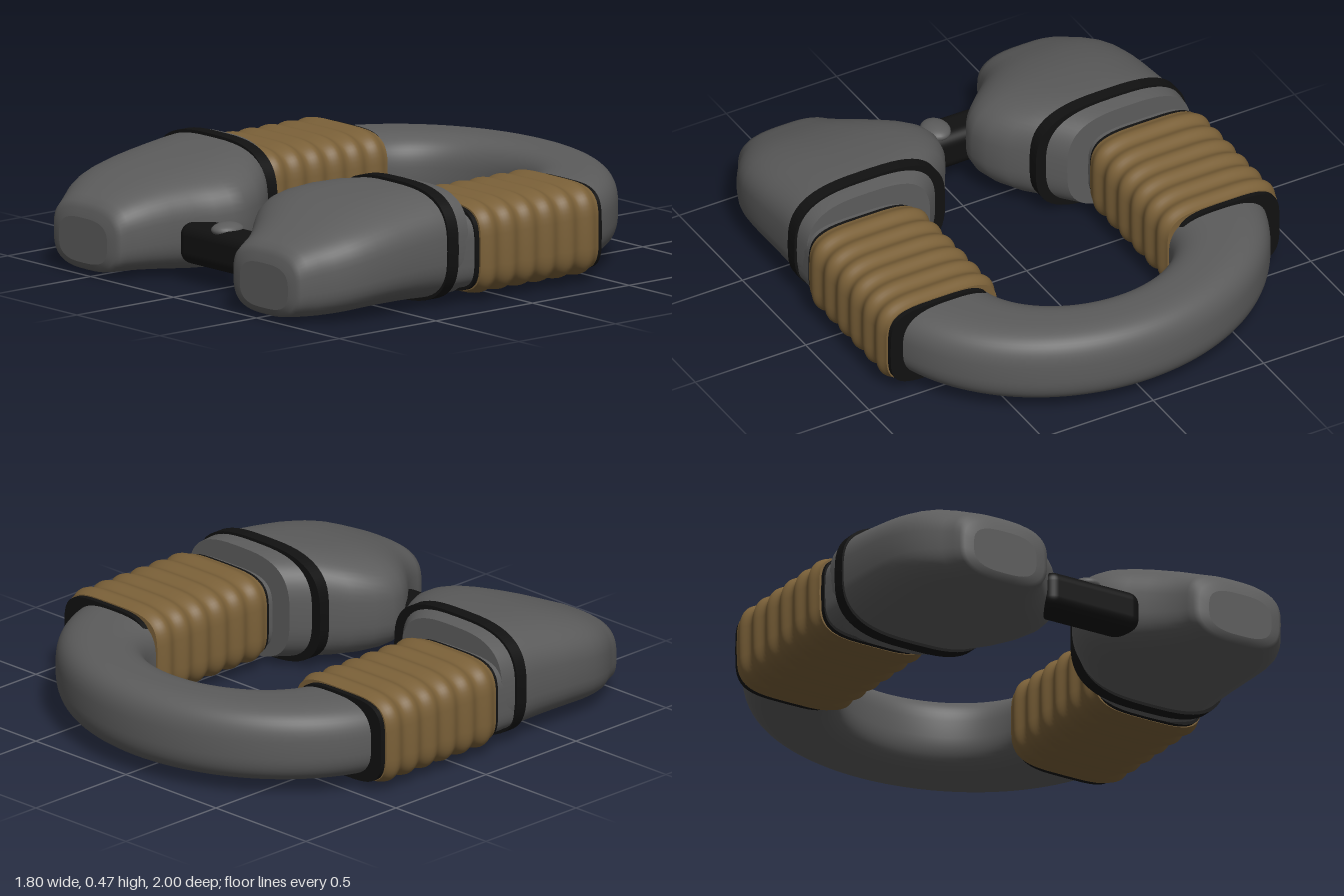
import * as THREE from 'three';
import { RoundedBoxGeometry } from 'three/addons/geometries/RoundedBoxGeometry.js';

const N = 56;

// Rounded-square outline, u and v from -1 to 1
function outline(power) {
  const f = (c) => Math.sign(c) * Math.pow(Math.abs(c), 2 / power);
  return Array.from({ length: N }, (_, j) => {
    const a = (j / N) * Math.PI * 2;
    return [f(Math.cos(a)), f(Math.sin(a))];
  });
}

// Skin over a list of rings, with flat end caps
function loft(rings) {
  const pos = [], index = [];
  rings.forEach((ring) => ring.forEach((p) => pos.push(...p)));
  for (let i = 0; i < rings.length - 1; i++) {
    for (let j = 0; j < N; j++) {
      const k = (j + 1) % N;
      const a = i * N + j, b = i * N + k, c = a + N, d = b + N;
      index.push(a, b, d, a, d, c);
    }
  }
  [rings[0], rings[rings.length - 1]].forEach((ring, end) => {
    const base = pos.length / 3;
    ring.forEach((p) => pos.push(...p));
    pos.push(...[0, 1, 2].map((q) => ring.reduce((s, p) => s + p[q], 0) / N));
    for (let j = 0; j < N; j++) {
      const k = (j + 1) % N;
      if (end) index.push(base + N, base + j, base + k);
      else index.push(base + N, base + k, base + j);
    }
  });
  const g = new THREE.BufferGeometry();
  g.setAttribute('position', new THREE.Float32BufferAttribute(pos, 3));
  g.setIndex(index);
  g.computeVertexNormals();
  return g;
}

// Loft along z on one side; each section is [z, innerX, outerX, bottom, top]
function sideLoft(side, sections, power) {
  const shape = outline(power);
  return loft(sections.map(([z, xi, xo, y0, y1]) => shape.map(([u, v]) => [
    side * (xi + xo) / 2 + u * (xo - xi) / 2,
    (y0 + y1) / 2 + v * (y1 - y0) / 2,
    z,
  ])));
}

export function createModel() {
  const group = new THREE.Group();
  const mat = (name, color) => {
    const m = new THREE.MeshStandardMaterial({ color });
    m.name = name;
    return m;
  };
  const grey = mat('dark grey', 0x5c5c5c);
  const black = mat('black', 0x111111);
  const brown = mat('brown', 0x7a6038);
  const add = (name, geometry, material) => {
    const mesh = new THREE.Mesh(geometry, material);
    mesh.name = name;
    group.add(mesh);
    return mesh;
  };

  // Curved tube around the back, between an inner and an outer ellipse
  const tube = outline(2.9);
  const rings = [];
  for (let i = 0; i <= 64; i++) {
    const t = Math.PI * (1 - i / 64), c = Math.cos(t), s = Math.sin(t);
    rings.push(tube.map(([u, v]) => {
      const w = (u + 1) / 2;
      return [
        c * THREE.MathUtils.lerp(0.4, 0.86, w),
        0.21 + 0.16 * v,
        THREE.MathUtils.lerp(-0.38 - 0.31 * s, -0.25 - 0.75 * s, w),
      ];
    }));
  }
  add('backArch', loft(rings), grey);

  // Head sections from the rear lip to the nose
  const headSections = [
    [0.22, 0.31, 0.87, 0.02, 0.455],
    [0.28, 0.255, 0.877, 0.017, 0.462],
    [0.34, 0.2, 0.88, 0.015, 0.462],
    [0.4, 0.14, 0.88, 0.015, 0.459],
    [0.48, 0.092, 0.88, 0.015, 0.45],
    [0.56, 0.072, 0.88, 0.015, 0.438],
    [0.62, 0.08, 0.878, 0.015, 0.427],
    [0.68, 0.115, 0.873, 0.015, 0.412],
    [0.74, 0.17, 0.865, 0.015, 0.395],
    [0.8, 0.23, 0.848, 0.015, 0.375],
    [0.86, 0.28, 0.82, 0.015, 0.35],
    [0.91, 0.312, 0.785, 0.015, 0.328],
    [0.95, 0.328, 0.758, 0.017, 0.31],
    [0.98, 0.338, 0.745, 0.02, 0.29],
    [0.992, 0.36, 0.728, 0.03, 0.265],
    [1.0, 0.4, 0.69, 0.05, 0.23],
  ];

  // Ribbed sleeve: six rounded ridges
  const sleeveSections = [];
  for (let i = 0; i <= 60; i++) {
    const e = 0.0075 * (1 - Math.cos((i / 60) * 12 * Math.PI));
    sleeveSections.push([
      -0.44 + 0.61 * (i / 60), 0.385 - e, 0.887 + e, 0.035 - e, 0.388 + e,
    ]);
  }

  const band = (z0, z1, ...size) => [[z0, ...size], [z1, ...size]];
  for (const [label, side] of [['left', 1], ['right', -1]]) {
    const part = (name, sections, power, material) =>
      add(label + name, sideLoft(side, sections, power), material);
    part('Head', headSections, 3, grey);
    part('HeadBand', band(0.285, 0.338, 0.205, 0.888, 0.002, 0.474), 3, black);
    part('Neck', band(-0.3, 0.3, 0.405, 0.872, 0.05, 0.37), 4, grey);
    part('Sleeve', sleeveSections, 4, brown);
    part('FrontSleeveBand', band(0.155, 0.19, 0.395, 0.878, 0.037, 0.383), 4, black);
    part('RearSleeveBand', band(-0.462, -0.425, 0.42, 0.88, 0.037, 0.383), 4, black);
  }

  // Crossbar between the heads with a small knob
  const bar = add('crossbar', new RoundedBoxGeometry(0.44, 0.165, 0.16, 5, 0.05), black);
  bar.position.set(0, 0.157, 0.72);
  const knob = add('knob', new THREE.SphereGeometry(1, 28, 18), grey);
  knob.scale.set(0.058, 0.03, 0.07);
  knob.position.set(0, 0.235, 0.72);

  return group;
}
